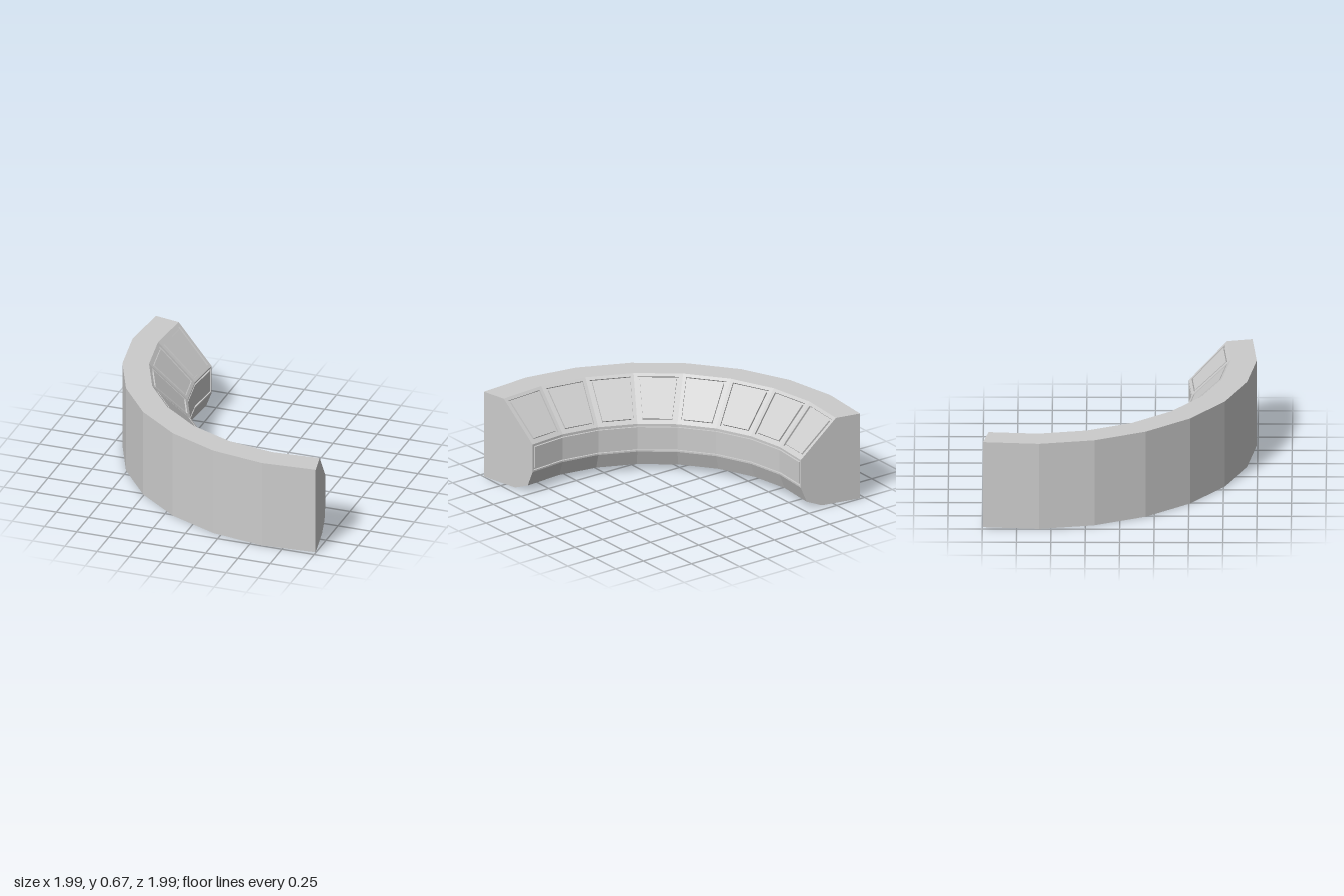
import * as THREE from 'three';

const SEGMENTS = 8;
const START = THREE.MathUtils.degToRad(-11.4);
const STEP = THREE.MathUtils.degToRad(14.125);
const CENTRE = { x: 0.663, z: -0.666 };
const ANGLES = Array.from({ length: SEGMENTS + 1 }, (_, i) => START + i * STEP);

// Cross-section of the desk as [radius, height], counter-clockwise
const PROFILE = [
  [1.66, 0], [1.66, 0.67], [1.466, 0.67], [1.184, 0.387],
  [1.184, 0.168], [1.231, 0.05], [1.353, 0],
];

// Point on the faceted ring; between corners it lies on the straight facet
function at(angle, [r, y]) {
  const i = THREE.MathUtils.clamp(Math.floor((angle - START) / STEP + 1e-6), 0, SEGMENTS - 1);
  const mid = START + (i + 0.5) * STEP;
  const chord = r * Math.cos(STEP / 2) / Math.cos(angle - mid);
  return [CENTRE.x - chord * Math.cos(angle), y, CENTRE.z + chord * Math.sin(angle)];
}

function quad(out, a, b, c, d) {
  out.push(...a, ...b, ...c, ...a, ...c, ...d);
}

function makeMesh(name, positions) {
  const geometry = new THREE.BufferGeometry();
  geometry.setAttribute('position', new THREE.Float32BufferAttribute(positions, 3));
  geometry.computeVertexNormals();
  const mesh = new THREE.Mesh(geometry,
    new THREE.MeshStandardMaterial({ color: 0xcccccc, flatShading: true }));
  mesh.name = name;
  return mesh;
}

// Plain band swept along the whole arc between two profile points
function band(name, p, q) {
  const out = [];
  for (let i = 0; i < SEGMENTS; i++) {
    const a = ANGLES[i], b = ANGLES[i + 1];
    quad(out, at(a, p), at(b, p), at(b, q), at(a, q));
  }
  return makeMesh(name, out);
}

// Face between two profile points with a groove running round its border
function groovedFace(name, p, q, angles, margin, width, depth) {
  const out = [];
  const dr = q[0] - p[0], dy = q[1] - p[1], length = Math.hypot(dr, dy);
  const last = angles.length - 1;

  const rail = (along, inset, sink) => {
    const r = p[0] + dr * along / length, y = p[1] + dy * along / length;
    const point = [r - dy / length * sink, y + dr / length * sink];
    return angles.map((a, i) =>
      at(a + (i === 0 ? inset / r : i === last ? -inset / r : 0), point));
  };
  const rails = ([inset, sink]) =>
    [rail(inset, inset, sink), rail(length - inset, inset, sink)];

  const steps = [[0, 0], [margin, 0], [margin, depth], [margin + width, depth], [margin + width, 0]]
    .map(rails);
  const loops = steps.map(([low, high]) => [...low, ...high.slice().reverse()]);
  for (let k = 0; k < loops.length - 1; k++) {
    const outer = loops[k], inner = loops[k + 1], n = outer.length;
    for (let i = 0; i < n; i++) {
      const j = (i + 1) % n;
      quad(out, outer[i], outer[j], inner[j], inner[i]);
    }
  }
  const [low, high] = steps[steps.length - 1];
  for (let i = 0; i < last; i++) quad(out, low[i], low[i + 1], high[i + 1], high[i]);
  return makeMesh(name, out);
}

// Flat ends that close the cross-section
function endCap(name, angle, reversed) {
  const ring = PROFILE.map((p) => at(angle, p));
  if (reversed) ring.reverse();
  const out = [];
  for (let i = 1; i < ring.length - 1; i++) out.push(...ring[0], ...ring[i], ...ring[i + 1]);
  return makeMesh(name, out);
}

export function createModel() {
  const model = new THREE.Group();
  model.name = 'curvedConsole';

  // Outer shell, top ledge and chamfered base
  model.add(band('outerWall', PROFILE[0], PROFILE[1]));
  model.add(band('topLedge', PROFILE[1], PROFILE[2]));
  model.add(band('lowerSlope', PROFILE[4], PROFILE[5]));
  model.add(band('baseChamfer', PROFILE[5], PROFILE[6]));
  model.add(band('underside', PROFILE[6], PROFILE[0]));

  // Sloped panels, one per facet
  const panels = new THREE.Group();
  panels.name = 'slopedPanels';
  for (let i = 0; i < SEGMENTS; i++) {
    panels.add(groovedFace('slopedPanel', PROFILE[2], PROFILE[3],
      [ANGLES[i], ANGLES[i + 1]], 0.026, 0.016, 0.014));
  }
  model.add(panels);

  // Continuous upright panel below the slopes
  model.add(groovedFace('frontStrip', PROFILE[3], PROFILE[4], ANGLES, 0.012, 0.014, 0.014));

  model.add(endCap('rightEnd', ANGLES[0], false));
  model.add(endCap('leftEnd', ANGLES[SEGMENTS], true));
  return model;
}
